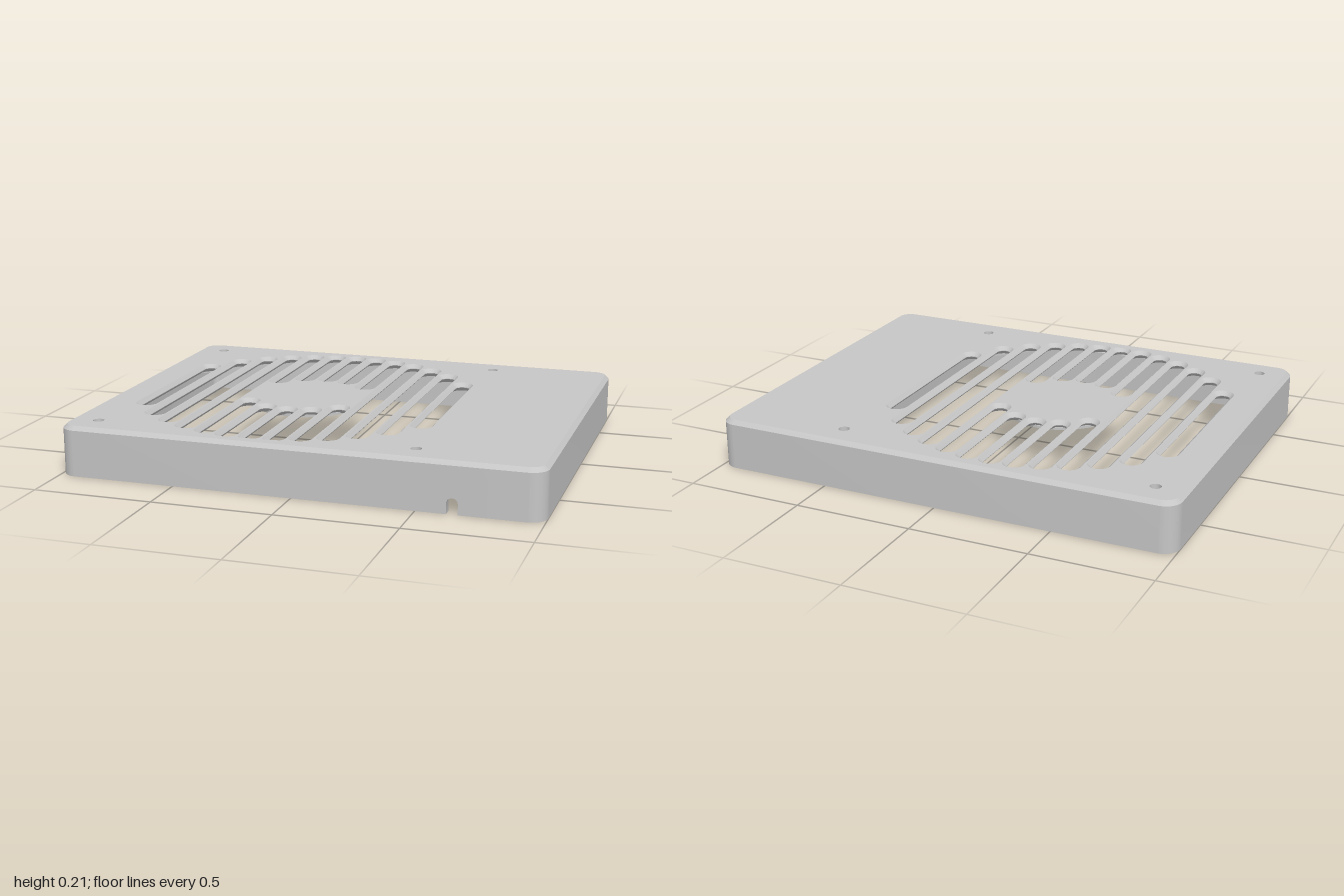
import * as THREE from 'three';
import { toCreasedNormals } from 'three/addons/utils/BufferGeometryUtils.js';

const H = 0.795, R = 0.07, T = 0.04;   // half depth, corner radius, wall thickness
const TOP = 0.21, UNDER = 0.174;       // plate faces
const BEVEL = 0.017;                   // chamfer of plate and slots
const CX = -0.202;                     // grille centre
const SCREW = 0.673, SCREW_R = 0.023;  // screw offset from grille centre, hole radius
const { PI } = Math;

// Extrudes an x/z shape downwards from the given height
function slab(shape, top, depth, bevel = 0) {
  const g = new THREE.ExtrudeGeometry(shape, {
    depth: depth - 2 * bevel, curveSegments: 10, bevelEnabled: bevel > 0,
    bevelThickness: bevel, bevelSize: bevel, bevelOffset: -bevel, bevelSegments: 1,
  });
  g.rotateX(PI / 2).translate(0, top - bevel, 0);
  return toCreasedNormals(g, 0.6);
}

function roundedRect(w, h, r, cx = 0, cz = 0, Type = THREE.Shape) {
  const s = new Type();
  s.absarc(cx + w - r, cz + h - r, r, 0, PI / 2);
  s.absarc(cx - w + r, cz + h - r, r, PI / 2, PI);
  s.absarc(cx - w + r, cz - h + r, r, PI, 1.5 * PI);
  s.absarc(cx + w - r, cz - h + r, r, 1.5 * PI, 2 * PI);
  s.closePath();
  return s;
}

function slot(x, z0, z1, r) {
  const p = new THREE.Path();
  p.absarc(x, z1 - r, r, 0, PI);
  p.absarc(x, z0 + r, r, PI, 2 * PI);
  p.closePath();
  return p;
}

function disc(x, z, r, Type = THREE.Path) {
  return new Type().absarc(x, z, r, 0, 2 * PI);
}

export function createModel() {
  const group = new THREE.Group();
  const grey = new THREE.MeshStandardMaterial({ color: 0xc6c6c6 });
  grey.name = 'grey plastic';
  const add = (name, geometry) => {
    const m = new THREE.Mesh(geometry, grey);
    m.name = name;
    group.add(m);
  };

  // Top plate with chamfered ventilation slots
  const r = 0.03;
  const plate = roundedRect(0.9995, H - 0.0005, R);
  const outer = [0.73, 0.725, 0.7, 0.66, 0.6, 0.515, 0.38];
  const inner = [0.245, 0.225, 0.155];
  for (let i = -6; i <= 6; i++) {
    const x = CX + i * 0.101, n = Math.abs(i), far = outer[n];
    if (n < 3) {
      plate.holes.push(slot(x, -far, -inner[n], r), slot(x, inner[n], far, r));
    } else {
      plate.holes.push(slot(x, -far, far, r));
    }
  }
  const screws = [[1, 1], [-1, 1], [-1, -1], [1, -1]].map(([sx, sz]) => [CX + sx * SCREW, sz * SCREW]);
  for (const [x, z] of screws) plate.holes.push(disc(x, z, 0.03));
  const plateGeometry = slab(plate, TOP, TOP - UNDER, BEVEL);

  // Straighten the screw holes, which have no chamfer
  const pos = plateGeometry.attributes.position;
  for (let i = 0; i < pos.count; i++) {
    for (const [x, z] of screws) {
      const dx = pos.getX(i) - x, dz = pos.getZ(i) - z, len = Math.hypot(dx, dz);
      if (len < 0.06) {
        pos.setX(i, x + dx / len * SCREW_R);
        pos.setZ(i, z + dz / len * SCREW_R);
      }
    }
  }
  add('grillePlate', toCreasedNormals(plateGeometry, 0.6));

  // Corners around the round fan recess, with thicker screw pads
  const a = Math.acos(0.755 / 0.8), e = 0.8 * Math.sin(a);
  for (let k = 0; k < 4; k++) {
    const corner = new THREE.Shape();
    corner.moveTo(0.755, e);
    corner.lineTo(0.755, 0.755);
    corner.lineTo(e, 0.755);
    corner.absarc(0, 0, 0.8, PI / 2 - a, a, true);

    const pad = new THREE.Shape();
    pad.moveTo(0.755, 0.39);
    pad.lineTo(0.755, 0.755);
    pad.lineTo(0.39, 0.755);
    pad.lineTo(0.47, 0.64);
    pad.lineTo(0.64, 0.47);
    pad.closePath();

    for (const [name, shape, bottom] of [['recessCorner', corner, 0.165], ['screwPad', pad, 0.15]]) {
      shape.holes.push(disc(SCREW, SCREW, SCREW_R));
      add(name, slab(shape, UNDER + 0.004, UNDER + 0.004 - bottom)
        .rotateY(-k * PI / 2).translate(CX, 0, 0));
    }
  }

  // Round hub under the middle of the grille
  add('hubDisc', slab(disc(CX, 0, 0.24, THREE.Shape), UNDER + 0.005, 0.011));

  // Outer wall, open at the front where the cable notch sits
  const x0 = 0.56, x1 = 0.72, c = 1 - R, d = H - R, q = R - T, wallTop = TOP - BEVEL;
  const wall = new THREE.Shape();
  wall.moveTo(x1, H - T);
  wall.lineTo(x1, H);
  wall.absarc(c, d, R, PI / 2, 0, true);
  wall.absarc(c, -d, R, 0, -PI / 2, true);
  wall.absarc(-c, -d, R, -PI / 2, -PI, true);
  wall.absarc(-c, d, R, PI, PI / 2, true);
  wall.lineTo(x0, H);
  wall.lineTo(x0, H - T);
  wall.absarc(-c, d, q, PI / 2, PI);
  wall.absarc(-c, -d, q, PI, 1.5 * PI);
  wall.absarc(c, -d, q, 1.5 * PI, 2 * PI);
  wall.absarc(c, d, q, 0, PI / 2);
  wall.closePath();
  add('outerWall', slab(wall, wallTop, wallTop));

  // Upright panel with an arched notch in its lower edge
  const notched = (from, to, height, mid, half, rise) => {
    const s = new THREE.Shape();
    s.moveTo(from, 0);
    s.lineTo(mid - half, 0);
    s.absarc(mid, rise - half, half, PI, 0, true);
    s.lineTo(mid + half, 0);
    s.lineTo(to, 0);
    s.lineTo(to, height);
    s.lineTo(from, height);
    s.closePath();
    return toCreasedNormals(new THREE.ExtrudeGeometry(s,
      { depth: T, bevelEnabled: false, curveSegments: 10 }), 0.6);
  };
  add('cableNotchWall', notched(x0, x1, wallTop, 0.645, 0.023, 0.065).translate(0, 0, H - T));

  // Partition between the fan bay and the cable bay
  add('partition', notched(-0.756, 0.756, UNDER - 0.015, 0.6, 0.04, 0.07)
    .rotateY(PI / 2).translate(0.56, 0.02, 0));

  // Cable bay: ceiling, clamp rib, mounting block and shallow frame
  add('bayCeiling', slab(roundedRect(0.19, 0.756, 0.02, 0.775, 0), UNDER + 0.004, 0.012));
  add('cableClamp', slab(roundedRect(0.014, 0.04, 0.005, 0.69, 0.72), UNDER, 0.13));
  add('mountingBlock', slab(roundedRect(0.09, 0.1, 0.025, 0.72, -0.4), UNDER, 0.135));
  const frame = roundedRect(0.09, 0.46, 0.03, 0.8, 0.21);
  frame.holes.push(roundedRect(0.065, 0.435, 0.015, 0.8, 0.21, THREE.Path));
  add('bayFrame', slab(frame, UNDER, 0.03));

  return group;
}
